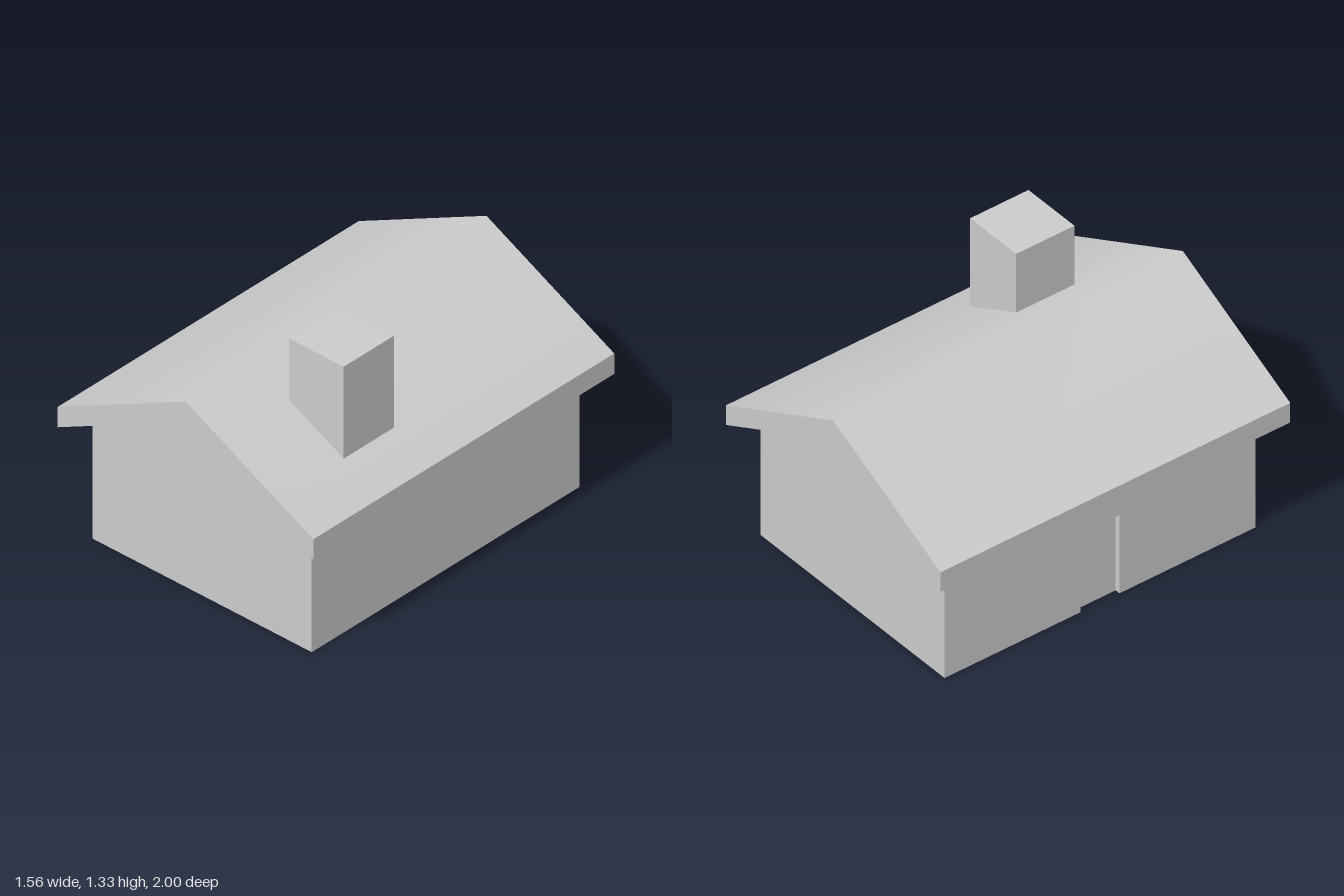
import * as THREE from 'three';
import { toCreasedNormals } from 'three/addons/utils/BufferGeometryUtils.js';

// All dimensions are in ninths of a unit, scaled down once at the end.
const SCALE = 1 / 9;

const WALL_X = 6, WALL_Z = 8, EAVE_Y = 6, GABLE_Y = 9;
const ROOF_X = 7, ROOF_Z = 9, ROOF_THICK = 1;
const DOOR_HALF = 1, DOOR_H = 4, NICHE_DEPTH = 1;

const material = new THREE.MeshStandardMaterial({ color: 0xcccccc });

// Extrude an x-y outline between two z positions
function prism(points, z0, z1) {
  const shape = new THREE.Shape(points.map(([x, y]) => new THREE.Vector2(x, y)));
  const geometry = new THREE.ExtrudeGeometry(shape, { depth: z1 - z0, bevelEnabled: false });
  return geometry.translate(0, 0, z0);
}

function add(parent, name, geometry) {
  const mesh = new THREE.Mesh(geometry, material);
  mesh.name = name;
  parent.add(mesh);
  return mesh;
}

function addBox(parent, name, [x0, x1], [y0, y1], [z0, z1]) {
  const mesh = add(parent, name, new THREE.BoxGeometry(x1 - x0, y1 - y0, z1 - z0));
  mesh.position.set((x0 + x1) / 2, (y0 + y1) / 2, (z0 + z1) / 2);
}

export function createModel() {
  const house = new THREE.Group();
  house.name = 'house';

  // Walls: gabled section, with a door niche cut into the middle stretch
  const walls = new THREE.Group();
  walls.name = 'walls';
  house.add(walls);
  const upper = [[WALL_X, 0], [WALL_X, EAVE_Y], [0, GABLE_Y], [-WALL_X, EAVE_Y]];
  const full = [...upper, [-WALL_X, 0]];
  const nicheX = -WALL_X + NICHE_DEPTH;
  const notched = [...upper, [-WALL_X, DOOR_H], [nicheX, DOOR_H], [nicheX, 0]];
  add(walls, 'frontWalls', prism(full, DOOR_HALF, WALL_Z));
  add(walls, 'doorwayWalls', prism(notched, -DOOR_HALF, DOOR_HALF));
  add(walls, 'backWalls', prism(full, -WALL_Z, -DOOR_HALF));

  // Door: thin slab standing free inside the niche
  addBox(house, 'door', [-WALL_X + 0.25, -WALL_X + 0.75], [0, DOOR_H], [-DOOR_HALF, DOOR_HALF]);

  // Roof: thick chevron, softly shaded over the ridge and sharp elsewhere
  const drop = ROOF_X * (GABLE_Y - EAVE_Y) / WALL_X;
  const under = GABLE_Y - drop;
  const roof = prism([
    [ROOF_X, under], [ROOF_X, under + ROOF_THICK], [0, GABLE_Y + ROOF_THICK],
    [-ROOF_X, under + ROOF_THICK], [-ROOF_X, under], [0, GABLE_Y],
  ], -ROOF_Z, ROOF_Z);
  add(house, 'roof', toCreasedNormals(roof, THREE.MathUtils.degToRad(58)));

  // Chimney: square stack sunk into the slope
  addBox(house, 'chimney', [2, 5], [7, 12], [2, 5]);

  house.scale.setScalar(SCALE);
  const model = new THREE.Group();
  model.add(house);
  return model;
}
